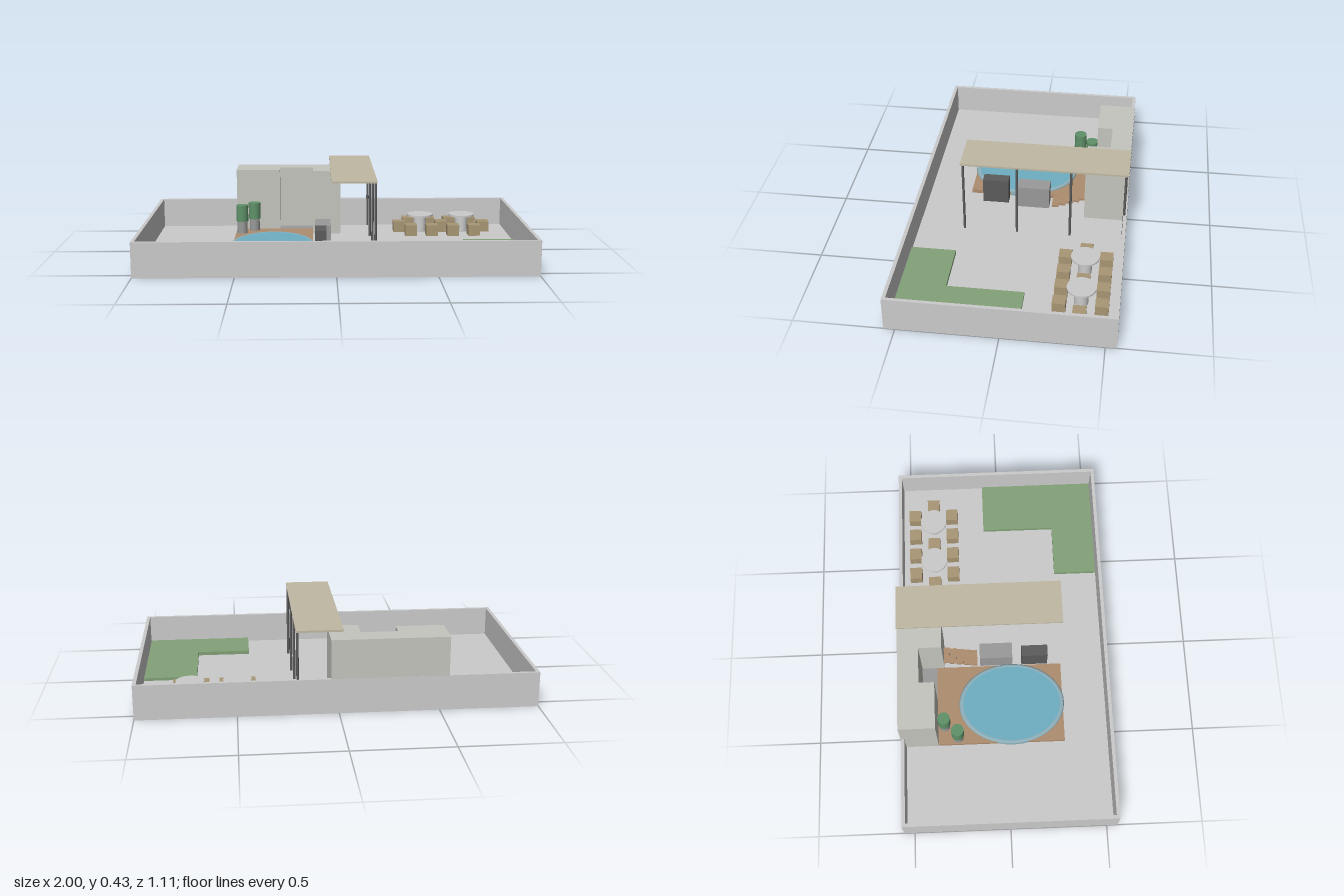
import * as THREE from 'three';

const mat = (color) => new THREE.MeshStandardMaterial({ color });
const M = {
  grey: mat(0xcccccc), slab: mat(0xbcbcbe), patio: mat(0xc4c4c4), wall: mat(0xc6c6c0),
  canopy: mat(0xc0b9a4), deck: mat(0xae8d70), chair: mat(0xa89674), water: mat(0x6eafc2),
  rim: mat(0x8fb0ba), lawn: mat(0x82a278), leaf: mat(0x5f9269), stone: mat(0x9a9a9a), dark: mat(0x5c5c5c),
};

export function createModel() {
  const root = new THREE.Group();
  const FLOOR = 0.021, HZ = 0.555, PATIO = 0.025;

  const add = (name, geo, m, x = 0, y = 0, z = 0, parent = root) => {
    const mesh = new THREE.Mesh(geo, m);
    mesh.name = name;
    mesh.position.set(x, y, z);
    parent.add(mesh);
  };
  // box given by its limits
  const block = (name, m, x0, x1, y0, y1, z0, z1, parent) =>
    add(name, new THREE.BoxGeometry(x1 - x0, y1 - y0, z1 - z0), m,
      (x0 + x1) / 2, (y0 + y1) / 2, (z0 + z1) / 2, parent);
  const post = (name, m, r, x, z, y0, y1, parent, n = 24) =>
    add(name, new THREE.CylinderGeometry(r, r, y1 - y0, n), m, x, (y0 + y1) / 2, z, parent);
  // outline in x and z, raised from y0 to y1
  const prism = (name, m, pts, y0, y1) => {
    const shape = new THREE.Shape(pts.map(([x, z]) => new THREE.Vector2(x, -z)));
    const geo = new THREE.ExtrudeGeometry(shape, { depth: y1 - y0, bevelEnabled: false });
    geo.rotateX(-Math.PI / 2);
    add(name, geo, m, 0, y0, 0);
  };
  const group = (name) => {
    const g = new THREE.Group();
    g.name = name;
    root.add(g);
    return g;
  };

  // ground slab and boundary wall
  const T = 0.018, H = 0.18;
  block('floorSlab', M.slab, -1, 1, 0, FLOOR, -HZ, HZ);
  const walls = group('boundaryWall');
  for (const s of [-1, 1]) {
    const x = s * (1 - T / 2), z = s * (HZ - T / 2);
    block('sideWall', M.grey, x - T / 2, x + T / 2, FLOOR, H, -HZ + T, HZ - T, walls);
    block('longWall', M.grey, -1, 1, FLOOR, H, z - T / 2, z + T / 2, walls);
  }
  block('diningPatio', M.patio, 0.213, 1 - T, FLOOR, PATIO, -HZ + T, -0.085);

  // pool house with a recessed entrance
  const B = -HZ + 0.0005;
  prism('poolHouse', M.wall, [
    [-0.545, B], [0.04, B], [0.04, -0.325], [-0.115, -0.325],
    [-0.115, -0.445], [-0.302, -0.445], [-0.302, -0.365], [-0.545, -0.365],
  ], FLOOR, 0.38);
  block('entranceFloor', M.stone, -0.302, -0.115, FLOOR, 0.04, -0.445, -0.365);

  // deck and oval pool with a rounded rim
  block('deck', M.deck, -0.545, -0.115, FLOOR, 0.042, -0.365, 0.307);
  const pool = group('pool');
  pool.position.set(-0.332, 0, 0.032);
  pool.scale.z = 1.27;
  post('water', M.water, 0.212, 0, 0, FLOOR, 0.0515, pool, 64);
  const rimProfile = [[0.222, FLOOR], [0.222, 0.047], [0.218, 0.051], [0.211, 0.0525], [0.205, 0.0515]]
    .map(([r, y]) => new THREE.Vector2(r, y));
  add('poolRim', new THREE.LatheGeometry(rimProfile, 64), M.rim, 0, 0, 0, pool);

  // lawn in the front corner
  prism('lawn', M.lawn, [[0.705, -0.085], [0.981, -0.085], [0.981, 0.536], [0.424, 0.536],
    [0.424, 0.305], [0.705, 0.305]], FLOOR, 0.04);

  // canopy on a row of four posts
  const canopy = group('canopy');
  block('canopyRoof', M.canopy, -0.021, 0.211, 0.422, 0.432, -HZ, 0.309, canopy);
  for (let i = 0; i < 4; i++) {
    post('canopyPost', M.dark, 0.0065, 0.203, 0.296 - i * 0.279, FLOOR, 0.422, canopy, 12);
  }

  // steps, counter and cabinet beside the deck
  const steps = group('steps');
  for (let i = 0; i < 5; i++) {
    const z = -0.145 - i * 0.037, y = 0.045 + i * 0.014;
    block('tread', M.deck, -0.105, -0.02, y - 0.012, y, z - 0.037, z, steps);
  }
  block('counter', M.stone, -0.105, -0.02, FLOOR, 0.145, -0.13, 0.045);
  block('cabinet', M.dark, -0.105, -0.045, FLOOR, 0.16, 0.095, 0.235);

  // potted shrubs
  for (const [x, z] of [[-0.51, -0.26], [-0.445, -0.33]]) {
    const plant = group('pottedShrub');
    post('pot', M.stone, 0.028, x, z, FLOOR, 0.11, plant);
    post('shrub', M.leaf, 0.033, x, z, 0.11, 0.2, plant);
  }

  // dining tables with chairs around them
  const dining = group('diningSet');
  for (const x of [0.494, 0.73]) {
    post('tableTop', M.grey, 0.072, x, -0.365, 0.115, 0.125, dining, 32);
    post('tablePedestal', M.grey, 0.035, x, -0.365, PATIO, 0.115, dining);
  }
  const chair = (x, z) =>
    block('chair', M.chair, x - 0.033, x + 0.033, PATIO, 0.085, z - 0.033, z + 0.033, dining);
  for (let i = 0; i < 4; i++) {
    chair(0.434 + i * 0.118, -0.47);
    chair(0.434 + i * 0.118, -0.262);
  }
  for (let i = 0; i < 3; i++) chair(0.375 + i * 0.238, -0.365);

  return root;
}
